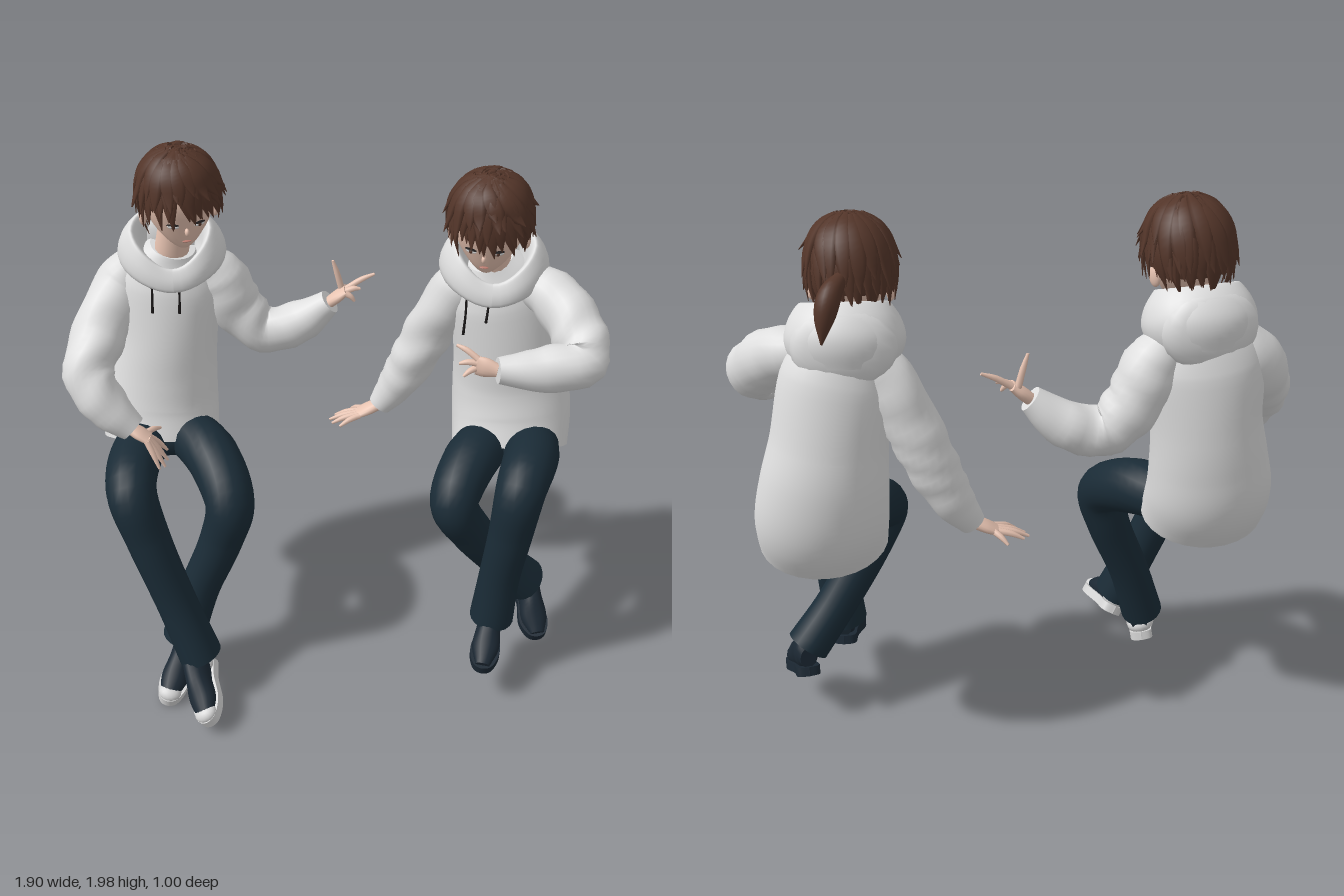
import * as THREE from 'three';

const V = (a) => new THREE.Vector3(a[0], a[1], a[2]);
const mat = (name, color, side = THREE.FrontSide) => {
  const m = new THREE.MeshStandardMaterial({ color, side });
  m.name = name;
  return m;
};

// Sweeps an elliptical section along points [x, y, z, halfWidth, halfDepth]; ref sets the width axis.
function sweep(pts, ref, { steps = 5, sides = 16, fold = 0 } = {}) {
  const path = new THREE.CatmullRomCurve3(pts.map(V));
  const size = new THREE.CatmullRomCurve3(pts.map((p) => new THREE.Vector3(p[3], p[4] ?? p[3], 0)), false, 'catmullrom');
  const n = (pts.length - 1) * steps;
  const tangents = [];
  for (let i = 0; i <= n; i++) tangents.push(path.getTangent(i / n));
  if (!ref) { // the axis least parallel to the path
    const worst = ['x', 'y', 'z'].map((k) => Math.max(...tangents.map((t) => Math.abs(t[k]))));
    const best = worst.indexOf(Math.min(...worst));
    ref = [0, 1, 2].map((k) => (k === best ? 1 : 0));
  }
  const pos = [], idx = [];
  const ring = (i, k) => {
    const c = path.getPoint(i / n), s = size.getPoint(i / n), T = tangents[i];
    const N = V(ref).addScaledVector(T, -V(ref).dot(T)).normalize();
    const B = new THREE.Vector3().crossVectors(T, N);
    for (let j = 0; j < sides; j++) {
      const a = (j / sides) * Math.PI * 2;
      const w = k * (1 + fold * Math.sin(i * 1.3 + 3 * Math.sin(a + i * 0.2)) * Math.sin((Math.PI * i) / n));
      const p = c.clone().addScaledVector(N, Math.cos(a) * Math.max(s.x, 0) * w)
        .addScaledVector(B, Math.sin(a) * Math.max(s.y, 0) * w);
      pos.push(p.x, p.y, p.z);
    }
  };
  const join = (r) => {
    for (let j = 0; j < sides; j++) {
      const a = r * sides + j, b = r * sides + ((j + 1) % sides);
      idx.push(a, b, b + sides, a, b + sides, a + sides);
    }
  };
  ring(0, 0); ring(0, 1); // start cap
  for (let i = 0; i <= n; i++) ring(i, 1);
  ring(n, 1); ring(n, 0); // end cap
  join(0);
  for (let i = 0; i < n; i++) join(i + 2);
  join(n + 3);
  const g = new THREE.BufferGeometry();
  g.setAttribute('position', new THREE.Float32BufferAttribute(pos, 3));
  g.setIndex(idx);
  g.computeVertexNormals();
  return g;
}

export function createModel() {
  const model = new THREE.Group();
  const hairM = mat('brown hair', 0x533529, THREE.DoubleSide);
  const skin = mat('skin', 0xe8c4b2);
  const cloth = mat('white hoodie', 0xdedede, THREE.DoubleSide);
  const denim = mat('dark trousers', 0x1a2b36);
  const shoeM = mat('dark shoe', 0x1c2833);
  const rubber = mat('pale rubber', 0xd6d6d6);
  const tread = mat('grey tread', 0x777777);
  const black = mat('black', 0x1b1818);
  const lip = mat('lip', 0xb87a6e);
  let seed = 7;
  const rand = () => (seed = (seed * 16807) % 2147483647) / 2147483647;

  const add = (parent, name, geo, m) => {
    const mesh = new THREE.Mesh(geo, m);
    mesh.name = name;
    parent.add(mesh);
    return mesh;
  };
  const blob = (parent, name, m, p, s) => {
    const b = add(parent, name, new THREE.SphereGeometry(1, 16, 12), m);
    b.position.set(...p);
    b.scale.set(...s);
    return b;
  };

  // Shoe along local +z with a sole, pale heel and toe, and tread
  function shoe(parent, heel, toe, up, soleM) {
    const g = new THREE.Group();
    g.name = 'shoe';
    const f = V(toe).sub(V(heel)), len = f.length();
    f.normalize();
    const x = V(up).cross(f).normalize(), y = f.clone().cross(x);
    g.quaternion.setFromRotationMatrix(new THREE.Matrix4().makeBasis(x, y, f));
    g.position.set(...heel);
    g.scale.set(1.2, 1.2, len / 0.29);
    const half = [[0.034, 0.02], [0.034, 0.1], [0.046, 0.2], [0.03, 0.27]];
    const outline = new THREE.Shape();
    outline.moveTo(0, 0);
    outline.splineThru([...half, [0, 0.29], ...half.slice().reverse().map(([a, b]) => [-a, b]), [0, 0]]
      .map(([a, b]) => new THREE.Vector2(a, b)));
    const sole = new THREE.ExtrudeGeometry(outline, { depth: 0.028, bevelEnabled: false, curveSegments: 24 });
    add(g, 'sole', sole.rotateX(Math.PI / 2).translate(0, 0.028, 0), soleM);
    add(g, 'tread', new THREE.ShapeGeometry(outline, 24).rotateX(Math.PI / 2).translate(0, -0.001, 0),
      soleM === rubber ? tread : shoeM);
    add(g, 'upper', sweep([[0, 0.055, 0.005, 0.024, 0.035], [0, 0.07, 0.04, 0.037, 0.055], [0, 0.062, 0.12, 0.037, 0.05],
      [0, 0.042, 0.2, 0.042, 0.035], [0, 0.03, 0.275, 0.022, 0.014]], [1, 0, 0]), shoeM);
    if (soleM === rubber) {
      blob(g, 'toeCap', rubber, [0, 0.03, 0.25], [0.036, 0.024, 0.037]);
      blob(g, 'heelPatch', rubber, [0, 0.045, 0.045], [0.041, 0.03, 0.045]);
    }
    parent.add(g);
  }

  // Palm from wrist to knuckles, and one finger per tip spread along the side axis
  function hand(parent, wrist, knuckle, side, tips) {
    const g = new THREE.Group();
    g.name = 'hand';
    const mid = V(wrist).lerp(V(knuckle), 0.55).toArray();
    add(g, 'palm', sweep([[...wrist, 0.024, 0.02], [...mid, 0.036, 0.02], [...knuckle, 0.036, 0.014]], side), skin);
    tips.forEach((tip, i) => {
      const spread = ((i / (tips.length - 1)) * 2 - 1) * 0.028;
      const root = V(knuckle).addScaledVector(V(side), spread).lerp(V(mid), i === 0 ? 0.5 : 0.1);
      const bend = root.clone().lerp(V(tip), 0.55).add(new THREE.Vector3(0, 0.006, 0));
      add(g, 'finger', sweep([[...root.toArray(), 0.012], [...bend.toArray(), 0.0105], [...tip, 0.005]], null, { sides: 8, steps: 3 }), skin);
    });
    parent.add(g);
  }

  // Head, face and layered hair
  function head(parent, center, yaw, pitch) {
    const g = new THREE.Group();
    g.name = 'head';
    g.position.set(...center);
    g.rotation.set(pitch, yaw, 0, 'YXZ');
    const face = new THREE.SphereGeometry(1, 28, 20);
    const p = face.attributes.position;
    for (let i = 0; i < p.count; i++) {
      const y = p.getY(i), t = Math.max(0, -y);
      p.setXYZ(i, p.getX(i) * 0.122 * (1 - 0.35 * t * t), y * (y < 0 ? 0.172 : 0.155),
        p.getZ(i) * 0.125 * (1 - 0.25 * t) + 0.055 * t * t);
    }
    face.computeVertexNormals();
    add(g, 'face', face, skin);
    blob(g, 'nose', skin, [0, -0.075, 0.122], [0.008, 0.014, 0.012]);
    blob(g, 'mouth', lip, [0, -0.115, 0.113], [0.016, 0.0025, 0.006]);
    for (const s of [-1, 1]) {
      blob(g, 'ear', skin, [s * 0.125, -0.065, 0], [0.014, 0.036, 0.022]).rotation.y = s * 0.3;
      blob(g, 'eye', rubber, [s * 0.045, -0.053, 0.111], [0.02, 0.007, 0.007]).rotation.y = s * 0.35;
      blob(g, 'iris', hairM, [s * 0.045, -0.053, 0.1155], [0.007, 0.007, 0.005]).rotation.y = s * 0.35;
      blob(g, 'eyelash', black, [s * 0.046, -0.046, 0.113], [0.022, 0.002, 0.007]).rotation.y = s * 0.35;
    }
    const top = new THREE.SphereGeometry(1, 28, 12, 0, Math.PI * 2, 0, 1.25).scale(0.138, 0.165, 0.14);
    const back = new THREE.SphereGeometry(1, 20, 16, Math.PI * 0.97, Math.PI * 1.06, 0, 2.0).scale(0.138, 0.165, 0.142);
    add(g, 'hairCap', top, hairM);
    add(g, 'hairBack', back, hairM);
    // tapered locks swirling from the crown down the skull, with flicked tips
    for (let layer = 0; layer < 4; layer++) {
      for (let i = 0; i < 20; i++) {
        const az = ((i + layer / 4 + rand() * 0.6) / 20) * Math.PI * 2 - Math.PI;
        const front = Math.abs(az) < 0.85, side = Math.abs(az) < 1.7;
        const end = (front ? 1.53 : side ? 1.73 : 2.1) - layer * 0.15 + rand() * 0.36;
        const start = -0.15 + rand() * 0.3 + layer * 0.12, swirl = 0.15 + rand() * 0.3, flick = 0.03 + rand() * 0.11, pts = [];
        for (let k = 0; k <= 4; k++) {
          const t = k / 4, th = start + (end - start) * t, a = az + swirl * (t - 0.4);
          const R = 0.985 + 0.02 * layer + (k === 4 ? flick : 0);
          pts.push([Math.sin(th) * Math.sin(a) * 0.141 * R, Math.cos(th) * 0.17 * R, Math.sin(th) * Math.cos(a) * 0.146 * R,
            [0.01, 0.026, 0.031, 0.022, 0.001][k], [0.004, 0.008, 0.009, 0.007, 0.001][k]]);
        }
        add(g, 'hairLock', sweep(pts, [Math.cos(az), 0, -Math.sin(az)], { sides: 6, steps: 3 }), hairM);
      }
    }
    parent.add(g);
  }

  // Hood lying open: a sloping collar, low and pointed in front and raised behind, over a hanging bag
  function hood(parent, center, yaw) {
    const g = new THREE.Group();
    g.name = 'hood';
    g.position.set(...center);
    g.rotation.set(0.36, yaw, 0, 'YXZ');
    const profile = [[0.15, -0.11], [0.18, -0.06], [0.19, -0.01], [0.175, 0.045], [0.145, 0.09], [0.13, 0.092], [0.115, 0.06], [0.1, 0], [0.075, -0.05]];
    const curve = new THREE.SplineCurve(profile.map((q) => new THREE.Vector2(...q)));
    const geo = new THREE.LatheGeometry(curve.getPoints(32), 36);
    const p = geo.attributes.position;
    for (let i = 0; i < p.count; i++) {
      const x = p.getX(i), y = p.getY(i), z = p.getZ(i), c = z / (Math.hypot(x, z) || 1), f = Math.max(0, c);
      p.setXYZ(i, x * (1 - 0.12 * f), y * (1 - (y < 0 ? 0.65 : 0.45) * f) - 0.03 * f ** 4, z * (1 - 0.1 * Math.abs(c)));
    }
    geo.computeVertexNormals();
    add(g, 'collar', geo, cloth);
    blob(g, 'bag', cloth, [0, -0.045, -0.09], [0.165, 0.13, 0.065]).rotation.x = -0.3;
    parent.add(g);
  }

  function person(name, d) {
    const g = new THREE.Group();
    g.name = name;
    add(g, 'torso', sweep(d.torso, [1, 0, 0], { sides: 28, steps: 6 }), cloth);
    d.sleeves.forEach((s) => add(g, 'sleeve', sweep(s, null, { fold: 0.05, sides: 20, steps: 6 }), cloth));
    hood(g, d.hood, d.yaw * 0.4);
    add(g, 'neck', sweep([[...d.hood, 0.06], [...V(d.hood).lerp(V(d.head), 0.65).toArray(), 0.055]], [1, 0, 0]), skin);
    head(g, d.head, d.yaw, d.pitch);
    d.cords.forEach(([x, y0, y1, z]) => {
      add(g, 'drawstring', sweep([[x, y0, z - 0.005, 0.004], [x, (y0 + y1) / 2, z + 0.006, 0.004], [x - 0.004, y1, z + 0.008, 0.005]], [1, 0, 0], { sides: 6 }), black);
    });
    blob(g, 'pelvis', denim, d.pelvis, [0.16, 0.085, 0.12]);
    d.legs.forEach((l) => add(g, 'trouserLeg', sweep(l, [1, 0, 0], { sides: 20, steps: 6 }), denim));
    d.shoes.forEach((s) => shoe(g, ...s, d.sole));
    d.hands.forEach((h) => hand(g, ...h));
    model.add(g);
    return g;
  }

  person('leftSeatedFigure', {
    yaw: 0.35, pitch: 0.14, head: [-0.52, 1.815, -0.28], hood: [-0.56, 1.6, -0.305], pelvis: [-0.61, 0.89, -0.22], sole: rubber,
    torso: [[-0.56, 1.6, -0.33, 0.08, 0.08], [-0.575, 1.54, -0.34, 0.15, 0.11], [-0.59, 1.45, -0.34, 0.19, 0.14],
      [-0.605, 1.25, -0.33, 0.185, 0.165], [-0.625, 1.1, -0.32, 0.2, 0.175], [-0.64, 0.97, -0.3, 0.215, 0.18], [-0.64, 0.85, -0.245, 0.215, 0.165]],
    sleeves: [
      [[-0.45, 1.53, -0.35, 0.07], [-0.4, 1.46, -0.36, 0.095], [-0.34, 1.33, -0.37, 0.095], [-0.25, 1.245, -0.37, 0.085], [-0.12, 1.28, -0.37, 0.078], [-0.01, 1.37, -0.36, 0.045]],
      [[-0.68, 1.54, -0.34, 0.07], [-0.75, 1.45, -0.33, 0.095], [-0.82, 1.32, -0.22, 0.097], [-0.855, 1.2, -0.1, 0.09], [-0.79, 1.1, -0.05, 0.08], [-0.7, 1.02, -0.03, 0.05]]],
    cords: [[-0.62, 1.55, 1.41, -0.188], [-0.525, 1.55, 1.41, -0.188]],
    legs: [
      [[-0.67, 0.88, -0.22, 0.095], [-0.705, 0.885, -0.05, 0.095], [-0.695, 0.855, 0.13, 0.09], [-0.64, 0.68, 0.18, 0.08], [-0.55, 0.42, 0.22, 0.075], [-0.47, 0.2, 0.26, 0.08, 0.09]],
      [[-0.54, 0.89, -0.22, 0.095], [-0.43, 0.87, -0.08, 0.1], [-0.355, 0.77, 0.07, 0.09], [-0.39, 0.62, 0.09, 0.08], [-0.48, 0.4, 0.11, 0.075], [-0.55, 0.18, 0.14, 0.08, 0.085]]],
    shoes: [[[-0.45, 0.12, 0.21], [-0.41, 0.06, 0.49], [-0.5, 0.85, 0.1]], [[-0.54, 0.08, 0.07], [-0.6, 0.015, 0.35], [0.15, 1, 0.2]]],
    hands: [
      [[-0.02, 1.36, -0.36], [0.05, 1.42, -0.36], [0, 0, 1], [[0, 1.53, -0.37], [0.15, 1.475, -0.38], [0.1, 1.43, -0.35], [0.08, 1.39, -0.33]]],
      [[-0.72, 1.03, -0.03], [-0.645, 0.99, -0.015], [0, 0, 1], [[-0.615, 0.98, -0.1], [-0.59, 0.91, -0.06], [-0.585, 0.89, -0.025], [-0.59, 0.885, 0.01], [-0.605, 0.895, 0.04]]]],
  });

  const right = person('rightSeatedFigure', {
    yaw: -0.2, pitch: 0.2, head: [0.53, 1.78, -0.2], hood: [0.56, 1.59, -0.26], pelvis: [0.66, 0.88, -0.22], sole: shoeM,
    torso: [[0.55, 1.6, -0.28, 0.08, 0.08], [0.57, 1.54, -0.29, 0.145, 0.11], [0.595, 1.45, -0.3, 0.18, 0.14],
      [0.63, 1.25, -0.315, 0.19, 0.165], [0.655, 1.1, -0.325, 0.21, 0.175], [0.67, 0.97, -0.305, 0.22, 0.18], [0.67, 0.85, -0.25, 0.215, 0.165]],
    sleeves: [
      [[0.5, 1.53, -0.3, 0.07], [0.44, 1.45, -0.32, 0.09], [0.36, 1.28, -0.35, 0.09], [0.3, 1.14, -0.36, 0.085], [0.24, 1.02, -0.365, 0.07], [0.18, 0.93, -0.36, 0.045]],
      [[0.67, 1.53, -0.25, 0.07], [0.77, 1.5, -0.18, 0.09], [0.845, 1.42, -0.08, 0.095], [0.855, 1.36, 0.0, 0.088], [0.72, 1.34, 0.03, 0.077], [0.57, 1.345, 0.05, 0.045]]],
    cords: [[0.465, 1.53, 1.37, -0.15], [0.54, 1.53, 1.42, -0.146]],
    legs: [
      [[0.75, 0.88, -0.22, 0.095], [0.73, 0.9, -0.07, 0.1], [0.685, 0.87, 0.08, 0.09], [0.66, 0.68, 0.1, 0.08], [0.635, 0.48, 0.1, 0.076], [0.62, 0.29, 0.1, 0.082, 0.09]],
      [[0.59, 0.88, -0.22, 0.095], [0.51, 0.87, -0.08, 0.1], [0.455, 0.78, 0.05, 0.088], [0.52, 0.64, 0.02, 0.08], [0.64, 0.46, -0.04, 0.075], [0.76, 0.31, -0.09, 0.08, 0.09]]],
    shoes: [[[0.63, 0.22, 0.02], [0.58, 0.16, 0.28], [0, 1, 0.2]], [[0.76, 0.22, -0.16], [0.81, 0.13, 0.06], [0, 1, 0.3]]],
    hands: [
      [[0.19, 0.94, -0.36], [0.1, 0.895, -0.355], [0, 0, 1], [[0.07, 0.87, -0.42], [0.01, 0.865, -0.38], [-0.01, 0.86, -0.355], [0.0, 0.86, -0.33], [0.03, 0.865, -0.3]]],
      [[0.57, 1.345, 0.05], [0.5, 1.355, 0.035], [0, 1, 0], [[0.48, 1.3, -0.01], [0.455, 1.325, 0.06], [0.44, 1.36, 0.035], [0.43, 1.415, 0.005]]]],
  });
  // Low ponytail
  add(right, 'ponytail', sweep([[0.56, 1.8, -0.33, 0.02], [0.6, 1.76, -0.38, 0.036], [0.62, 1.7, -0.405, 0.032], [0.635, 1.62, -0.425, 0.003]], [1, 0, 0]), hairM);
  return model;
}
